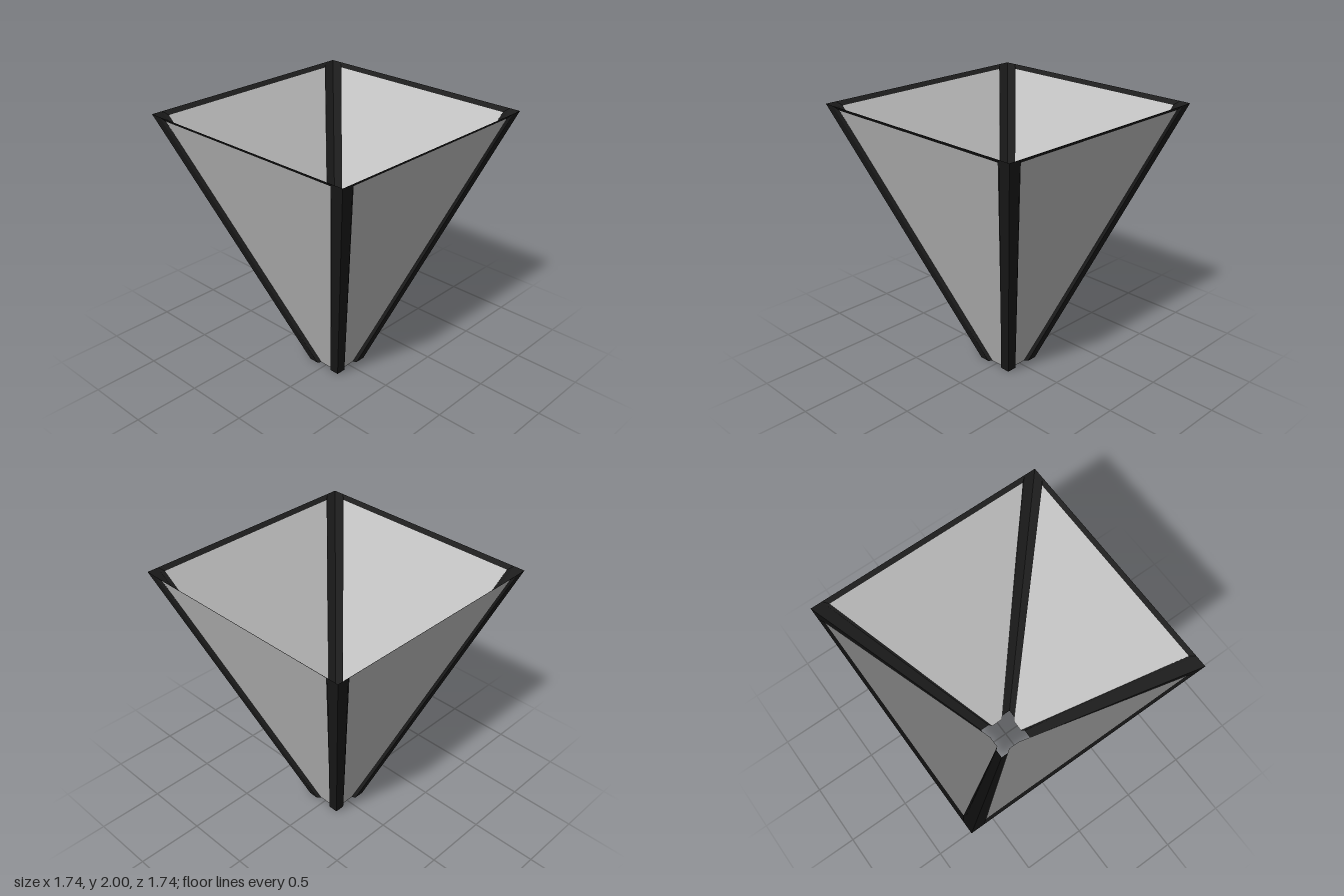
import * as THREE from 'three';

const panelMaterial = new THREE.MeshStandardMaterial({ color: 0xcccccc, flatShading: true, side: THREE.DoubleSide });
const frameMaterial = new THREE.MeshStandardMaterial({ color: 0x1e1e1e, flatShading: true, side: THREE.DoubleSide });

// Thin four-cornered sheet, corners counter-clockwise from outside
function sheet(name, material, corners) {
  const geometry = new THREE.BufferGeometry();
  geometry.setAttribute('position', new THREE.Float32BufferAttribute(corners.flat(), 3));
  geometry.setIndex([0, 1, 2, 0, 2, 3]);
  geometry.computeVertexNormals();
  const mesh = new THREE.Mesh(geometry, material);
  mesh.name = name;
  return mesh;
}

// Half widths of the tapered shell at the foot and the rim
const foot = { outer: 0.145, strip: 0.07, panel: 0.05, depth: 0.12 };
const rim = { outer: 0.872, strip: 0.79, panel: 0.755, depth: 0.847, panelY: 1.97, y: 2 };

// One sloping wall: recessed panel, corner strips and the bevels joining them
function createWall() {
  const wall = new THREE.Group();
  const footPanel = (s) => [s * foot.panel, 0, foot.depth];
  const rimPanel = (s) => [s * rim.panel, rim.panelY, rim.depth];
  const footStrip = (s) => [s * foot.strip, 0, foot.outer];
  const rimStrip = (s) => [s * rim.strip, rim.y, rim.outer];

  wall.add(sheet('panel', panelMaterial, [footPanel(-1), footPanel(1), rimPanel(1), rimPanel(-1)]));
  wall.add(sheet('topRailBevel', frameMaterial, [rimPanel(-1), rimPanel(1), rimStrip(1), rimStrip(-1)]));

  for (const s of [-1, 1]) {
    const side = s > 0 ? 'left' : 'right';
    const strip = [footStrip(s), [s * foot.outer, 0, foot.outer], [s * rim.outer, rim.y, rim.outer], rimStrip(s)];
    const bevel = [footPanel(s), footStrip(s), rimStrip(s), rimPanel(s)];
    // Mirrored sheets need their corner order reversed
    if (s < 0) {
      strip.reverse();
      bevel.reverse();
    }
    wall.add(sheet(side + 'CornerStrip', frameMaterial, strip));
    wall.add(sheet(side + 'CornerBevel', frameMaterial, bevel));
  }
  return wall;
}

export function createModel() {
  const model = new THREE.Group();
  model.name = 'taperedShade';
  ['frontWall', 'leftWall', 'backWall', 'rightWall'].forEach((name, i) => {
    const wall = createWall();
    wall.name = name;
    wall.rotation.y = i * Math.PI / 2;
    model.add(wall);
  });
  return model;
}
